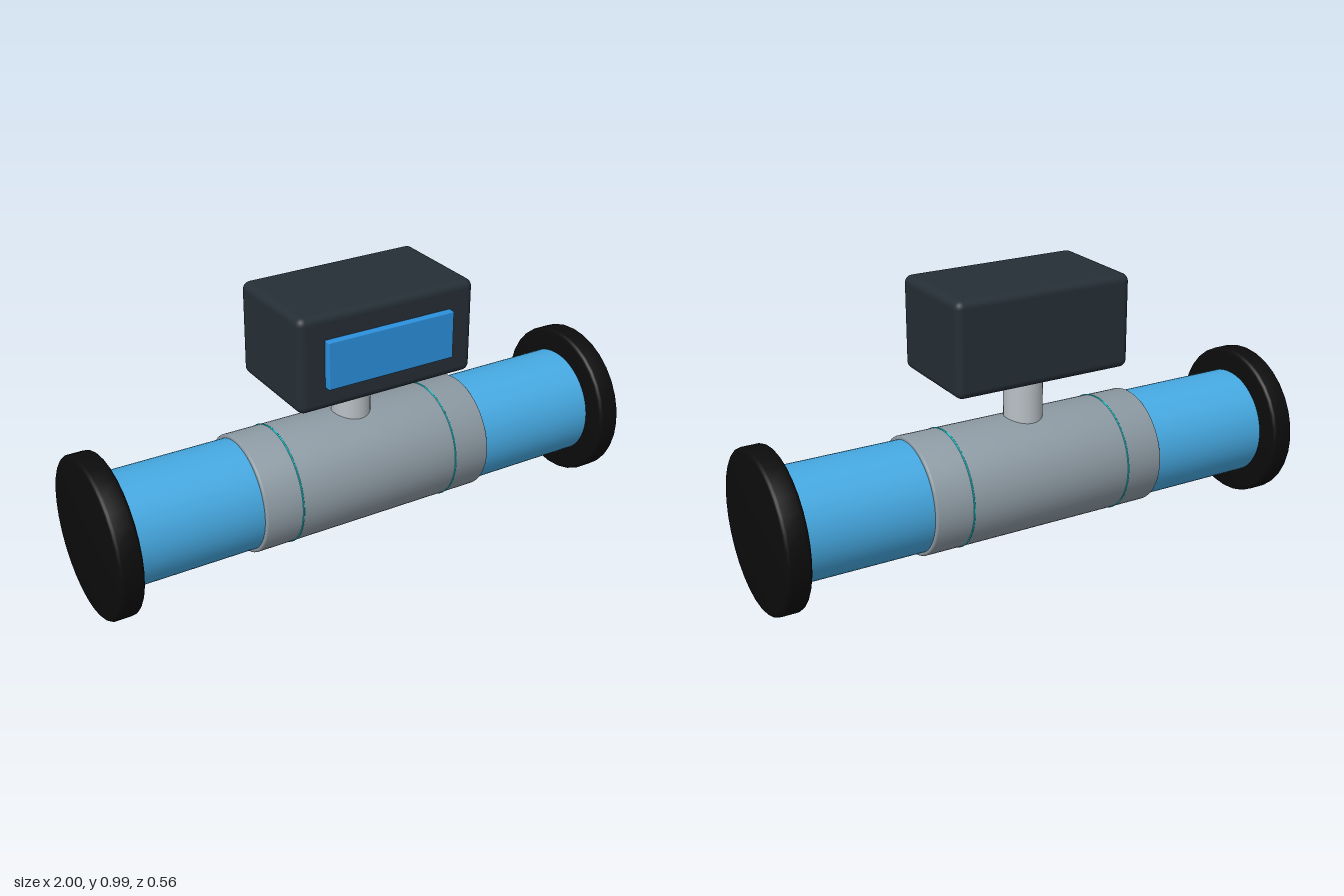
import * as THREE from 'three';
import { toCreasedNormals } from 'three/addons/utils/BufferGeometryUtils.js';
import { RoundedBoxGeometry } from 'three/addons/geometries/RoundedBoxGeometry.js';

const AXIS_Y = 0.282;

export function createModel() {
  const model = new THREE.Group();
  const material = (color) => new THREE.MeshStandardMaterial({ color });
  const blue = material(0x46a9e2);
  const black = material(0x0c0c0c);
  const steel = material(0x8d9aa3);
  const silver = material(0xb9c0c5);
  const casing = material(0x252e36);
  const screen = material(0x2b90dc);
  const cyan = material(0x00d0d8);

  function add(name, geometry, mat, x, y, z) {
    const mesh = new THREE.Mesh(geometry, mat);
    mesh.name = name;
    mesh.position.set(x, y, z);
    model.add(mesh);
    return mesh;
  }

  // Solid disc or drum along x with rounded rims
  function drum(radius, length, round, sides) {
    const h = length / 2;
    const points = [new THREE.Vector2(0, -h)];
    for (const end of [-1, 1]) {
      for (let i = 0; i <= 4; i++) {
        const a = (end < 0 ? i - 4 : i) * Math.PI / 8;
        points.push(new THREE.Vector2(
          radius - round + round * Math.cos(a),
          end * (h - round) + round * Math.sin(a)));
      }
    }
    points.push(new THREE.Vector2(0, h));
    const geometry = new THREE.LatheGeometry(points, sides);
    geometry.rotateZ(-Math.PI / 2);
    return toCreasedNormals(geometry, 0.5);
  }

  // Pipe and sensor sleeve
  const pipe = new THREE.CylinderGeometry(0.197, 0.197, 1.86, 64);
  pipe.rotateZ(Math.PI / 2);
  add('pipe', pipe, blue, 0, AXIS_Y, 0);
  add('sensorSleeve', drum(0.21, 0.9, 0.007, 64), steel, 0, AXIS_Y, 0);

  // Mirrored end flanges and sleeve seam rings
  for (const side of [-1, 1]) {
    const prefix = side > 0 ? 'left' : 'right';
    add(prefix + 'Flange', drum(0.281, 0.085, 0.014, 32), black, side * 0.9575, AXIS_Y, 0);
    const ring = new THREE.TorusGeometry(0.2095, 0.003, 8, 64);
    ring.rotateY(Math.PI / 2);
    add(prefix + 'SeamRing', ring, cyan, side * 0.31, AXIS_Y, 0);
  }

  // Stem carrying the display housing
  add('stem', new THREE.CylinderGeometry(0.069, 0.069, 0.24, 32), silver, 0, 0.56, 0);
  add('displayHousing', new RoundedBoxGeometry(0.67, 0.336, 0.394, 4, 0.028), casing, 0, 0.82, 0.042);
  add('displayScreen', new RoundedBoxGeometry(0.48, 0.168, 0.04, 2, 0.004), screen, 0, 0.818, 0.244);

  return model;
}
